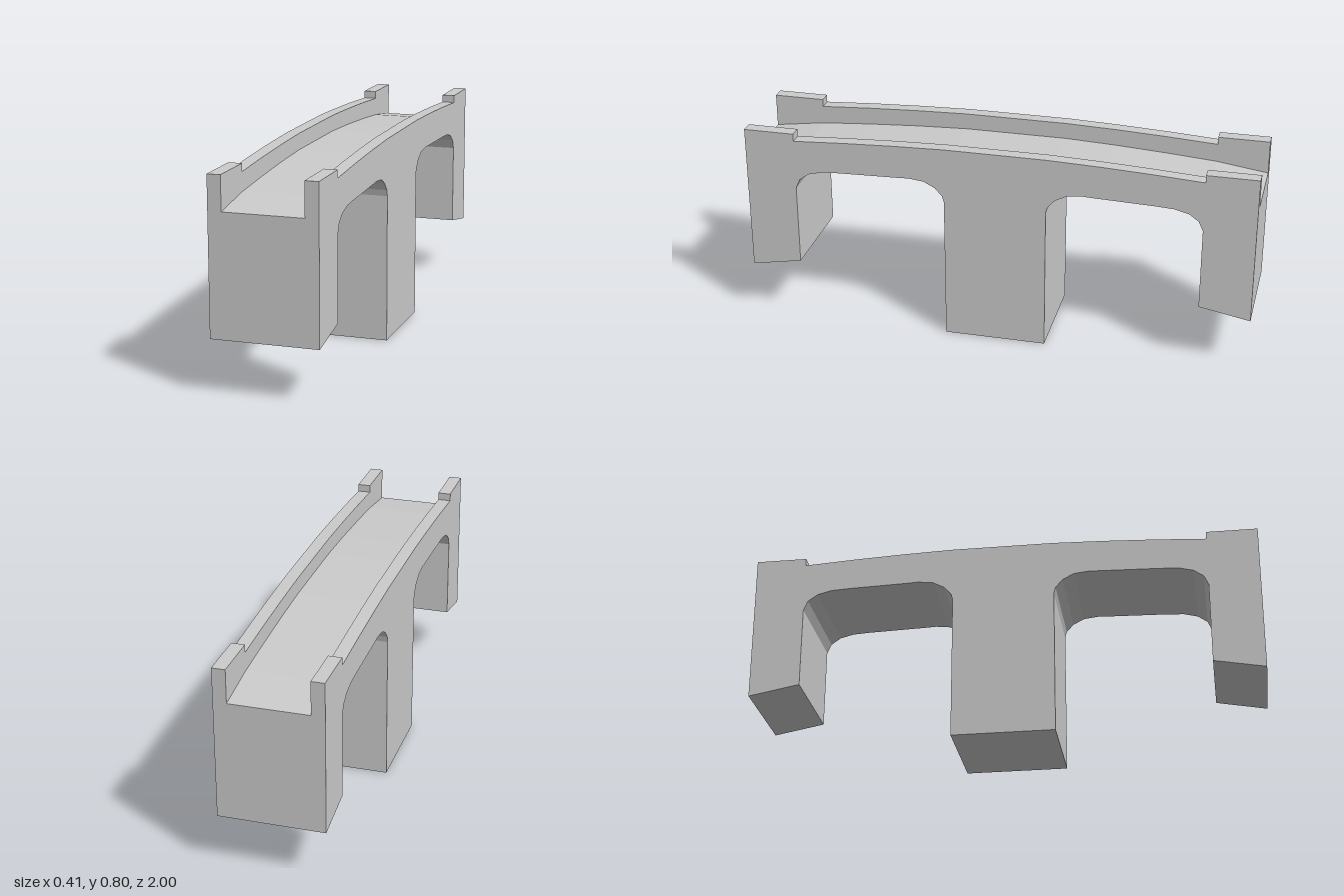
import * as THREE from 'three';

const HALF = 0.2025; // half width of the bridge
const WALL = 0.051;  // parapet thickness

// Half profiles as [z, y], listed from the end towards the middle
const deck = [[1, 0.67], [0.8, 0.698], [0.6, 0.713], [0.4, 0.725], [0.2, 0.733]];
const rail = [[1, 0.8], [0.8, 0.8], [0.8, 0.77], [0.6, 0.782], [0.4, 0.791], [0.2, 0.797]];
const underside = [
  [1, 0.21], [0.8, 0.247], [0.8, 0.57], [0.783, 0.608], [0.745, 0.635], [0.69, 0.649], [0.62, 0.653],
  [0.38, 0.66], [0.34, 0.662], [0.28, 0.655], [0.235, 0.632], [0.207, 0.6], [0.2, 0.575], [0.2, 0],
];

// Full line from +z to -z, made by mirroring the half profile
const mirrored = (half) => [...half, ...half.map(([z, y]) => [-z, y]).reverse()];

// Slab across x whose side outline runs along the top line and back along the bottom line
function slab(name, top, bottom, width, x, material) {
  const outline = [...mirrored(top), ...mirrored(bottom).reverse()];
  const shape = new THREE.Shape(outline.map(([z, y]) => new THREE.Vector2(z, y)));
  const geometry = new THREE.ExtrudeGeometry(shape, { depth: width, bevelEnabled: false });
  geometry.translate(0, 0, -width / 2).rotateY(-Math.PI / 2).translate(x, 0, 0);
  const mesh = new THREE.Mesh(geometry, material);
  mesh.name = name;
  return mesh;
}

export function createModel() {
  const group = new THREE.Group();
  group.name = 'bridge';
  const stone = new THREE.MeshStandardMaterial({ color: 0xcccccc, flatShading: true });

  // Roadway, arches, central pier and end abutments
  group.add(slab('archesAndDeck', deck, underside, HALF * 2, 0, stone));

  // Parapets with raised end posts
  for (const [name, side] of [['leftParapet', 1], ['rightParapet', -1]]) {
    group.add(slab(name, rail, deck, WALL, side * (HALF - WALL / 2), stone));
  }
  return group;
}
